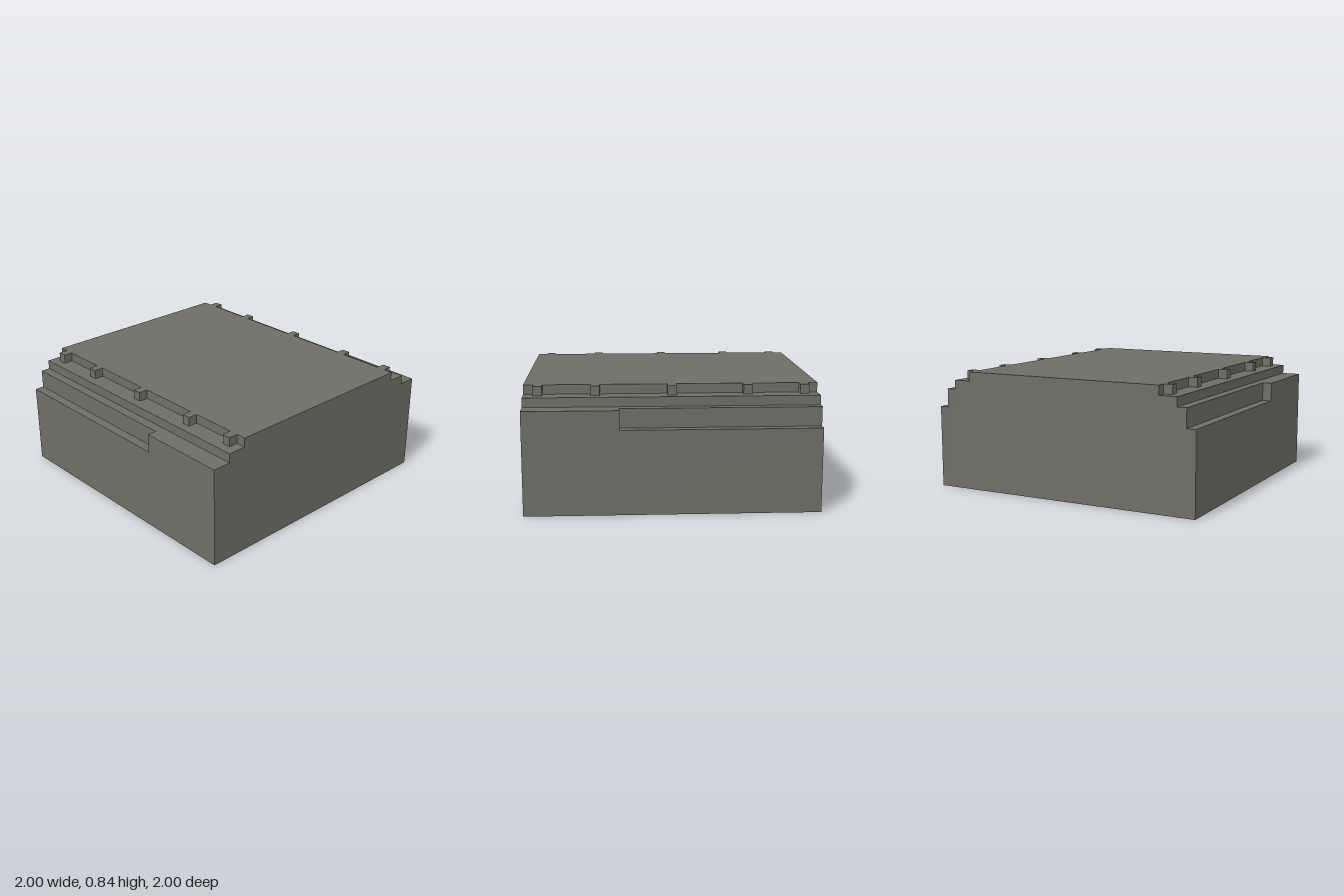
import * as THREE from 'three';

const stone = new THREE.MeshStandardMaterial({ color: 0x6e6e66 });
stone.name = 'grey stone';

// Closed shape from half of an outline, mirrored across the vertical axis
function mirroredShape(half) {
  const other = half.map(([a, b]) => [-a, b]).reverse();
  return new THREE.Shape([...half, ...other].map(([a, b]) => new THREE.Vector2(a, b)));
}

// Extrude a (z, y) section along x between two positions
function block(name, half, x0, x1) {
  const geo = new THREE.ExtrudeGeometry(mirroredShape(half), { depth: x1 - x0, bevelEnabled: false });
  geo.rotateY(Math.PI / 2);
  geo.translate(x0, 0, 0);
  const mesh = new THREE.Mesh(geo, stone);
  mesh.name = name;
  return mesh;
}

export function createModel() {
  const model = new THREE.Group();
  model.name = 'steppedBlock';

  const ledgeY = 0.712, stepY = 0.777, topY = 0.842;
  const notchX = 0.355, notchY = 0.58;
  const upper = [[0.868, ledgeY], [0.868, stepY]];

  // Body: the front and back ledges are cut lower over the right part
  model.add(block('notchedBody', [[1, 0], [1, notchY], [0.934, notchY], [0.934, ledgeY], ...upper], -1, notchX));
  model.add(block('fullBody', [[1, 0], [1, ledgeY], ...upper], notchX, 1));

  // Top slab, its plan toothed along the front and back edges
  const inner = 0.739, outer = 0.805, halfTooth = 0.031;
  const teeth = [-0.903, -0.517, -0.003, 0.515, 0.901];
  const edge = [[-1, inner]];
  for (const x of teeth) {
    edge.push([x - halfTooth, inner], [x - halfTooth, outer], [x + halfTooth, outer], [x + halfTooth, inner]);
  }
  edge.push([1, inner]);
  const back = edge.map(([x, z]) => [x, -z]).reverse();
  const plan = new THREE.Shape([...edge, ...back].map(([x, z]) => new THREE.Vector2(x, z)));
  const slabGeo = new THREE.ExtrudeGeometry(plan, { depth: topY - stepY, bevelEnabled: false });
  slabGeo.rotateX(-Math.PI / 2);
  const slab = new THREE.Mesh(slabGeo, stone);
  slab.name = 'toothedTopSlab';
  slab.position.y = stepY;
  model.add(slab);

  return model;
}
